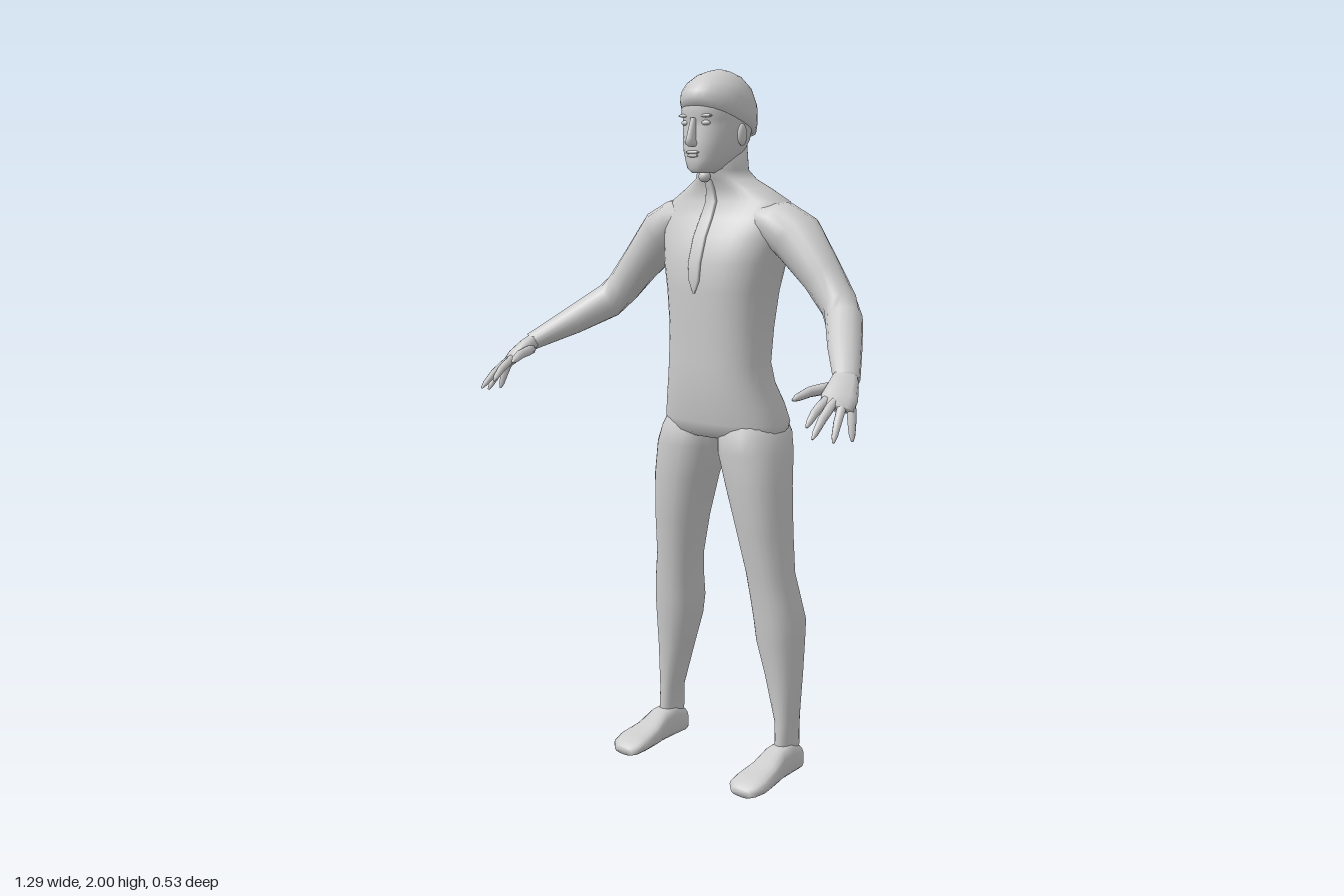
import * as THREE from 'three';

const V = (x, y, z) => new THREE.Vector3(x, y, z);
const skin = new THREE.MeshStandardMaterial({ color: 0xcccccc });
skin.name = 'pale grey';

// Closed skin over cross-sections {c, u, v, a, b, p, groove}; u x v points along the path.
function loft(sections, n) {
  const pos = [], index = [];
  const pw = (t, p) => Math.sign(t) * Math.pow(Math.abs(t), 2 / p);
  for (const { c, u, v, a, b, p = 2, groove = 0 } of sections) {
    for (let j = 0; j < n; j++) {
      const t = (j / n) * Math.PI * 2;
      const q = c.clone().addScaledVector(u, a * pw(Math.cos(t), p)).addScaledVector(v, b * pw(Math.sin(t), p));
      if (groove && Math.sin(t) > 0) q.z += groove * Math.exp(-((q.x / 0.035) ** 2));
      pos.push(q.x, q.y, q.z);
    }
  }
  const m = sections.length;
  for (let i = 0; i < m - 1; i++) {
    for (let j = 0; j < n; j++) {
      const a = i * n + j, b = i * n + ((j + 1) % n);
      index.push(a, b, b + n, a, b + n, a + n);
    }
  }
  const first = sections[0].c, last = sections[m - 1].c;
  pos.push(first.x, first.y, first.z, last.x, last.y, last.z);
  for (let j = 0; j < n; j++) {
    const k = (j + 1) % n, e = (m - 1) * n;
    index.push(m * n, k, j, m * n + 1, e + j, e + k);
  }
  const g = new THREE.BufferGeometry();
  g.setAttribute('position', new THREE.Float32BufferAttribute(pos, 3));
  g.setIndex(index);
  g.computeVertexNormals();
  return g;
}

// Level ring between x0..x1 and from front to back; tilt drops the back and lifts the front.
const ring = (y, x0, x1, zf, zb, p = 2.3, groove = 0, tilt = 0) => ({
  c: V((x0 + x1) / 2, y, (zf + zb) / 2), u: V(1, 0, 0), v: V(0, -tilt, -1),
  a: (x1 - x0) / 2, b: (zf - zb) / 2, p, groove,
});

// Limb along points [x, y, z, halfWidth, halfHeight]; side sets the width direction.
function limb(rows, n, side, p = 2) {
  const pts = rows.map((r) => V(r[0], r[1], r[2]));
  return loft(rows.map((r, i) => {
    const t = pts[Math.min(i + 1, pts.length - 1)].clone().sub(pts[Math.max(i - 1, 0)]).normalize();
    const u = side ? side.clone().addScaledVector(t, -side.dot(t)) : V(0, 1, 0).cross(t);
    u.normalize();
    return { c: pts[i], u, v: t.clone().cross(u), a: r[3], b: r[4], p };
  }), n);
}

function ball(x, y, z, rx, ry, rz) {
  return new THREE.SphereGeometry(1, 16, 12).scale(rx, ry, rz).translate(x, y, z);
}

function mirrored(g) {
  const m = g.clone().scale(-1, 1, 1), idx = m.index;
  for (let i = 0; i < idx.count; i += 3) {
    const t = idx.getX(i);
    idx.setX(i, idx.getX(i + 1));
    idx.setX(i + 1, t);
  }
  m.computeVertexNormals();
  return m;
}

export function createModel() {
  const model = new THREE.Group();
  model.name = 'figure';
  const add = (name, g) => {
    const mesh = new THREE.Mesh(g, skin);
    mesh.name = name;
    model.add(mesh);
  };
  const pair = (name, g) => {
    add('left ' + name, g);
    add('right ' + name, mirrored(g));
  };

  // Torso and neck: y, half width, front, back, spine groove
  const torso = [
    [0.985, 0.175, -0.045, -0.22, 0.02], [1.0, 0.194, -0.022, -0.25, 0.03],
    [1.03, 0.195, -0.015, -0.268, 0.035], [1.08, 0.182, -0.006, -0.256, 0.025],
    [1.14, 0.165, 0, -0.226, 0.012], [1.2, 0.156, 0.002, -0.213, 0.01],
    [1.3, 0.156, 0.003, -0.23, 0.012], [1.4, 0.166, 0.006, -0.245, 0.012],
    [1.48, 0.185, 0.003, -0.255, 0.014], [1.55, 0.202, -0.02, -0.258, 0.015],
    [1.6, 0.212, -0.048, -0.25, 0.014], [1.645, 0.195, -0.07, -0.236, 0.01],
    [1.68, 0.132, -0.066, -0.222, 0.006], [1.705, 0.084, -0.056, -0.207, 0],
    [1.73, 0.063, -0.045, -0.192, 0], [1.81, 0.06, -0.04, -0.185, 0],
  ];
  add('torso', loft(torso.map(([y, w, f, b, g]) => ring(y, -w, w, f, b, 2.4, g)), 40));

  // Legs: y, inner x, outer x, front, back
  const leg = [
    [0.03, 0.2, 0.247, -0.1, -0.195], [0.08, 0.2, 0.247, -0.1, -0.197],
    [0.16, 0.195, 0.25, -0.105, -0.195], [0.3, 0.155, 0.257, -0.095, -0.21],
    [0.4, 0.128, 0.258, -0.08, -0.225], [0.46, 0.12, 0.26, -0.075, -0.228],
    [0.52, 0.115, 0.251, -0.068, -0.215], [0.6, 0.105, 0.237, -0.06, -0.2],
    [0.72, 0.08, 0.23, -0.04, -0.205], [0.85, 0.045, 0.224, -0.025, -0.215],
    [0.95, 0.013, 0.214, -0.02, -0.238], [1.0, 0.012, 0.198, -0.024, -0.252],
    [1.06, 0.02, 0.17, -0.05, -0.23],
  ];
  pair('leg', loft(leg.map((r) => ring(...r)), 20));

  // Feet: z, centre x, half width, height
  const foot = [
    [-0.205, 0.223, 0.018, 0.04], [-0.192, 0.223, 0.03, 0.075], [-0.14, 0.224, 0.036, 0.1],
    [-0.09, 0.225, 0.04, 0.095], [-0.04, 0.226, 0.048, 0.066], [0.02, 0.228, 0.056, 0.05],
    [0.055, 0.226, 0.051, 0.038], [0.07, 0.226, 0.035, 0.025],
  ];
  pair('foot', loft(foot.map(([z, x, w, h]) => ({
    c: V(x, h / 2, z), u: V(1, 0, 0), v: V(0, 1, 0), a: w, b: h / 2, p: 2.7,
  })), 18));

  // Arms, palms, fingers and thumbs
  pair('arm', limb([
    [0.11, 1.6, -0.145, 0.075, 0.05], [0.18, 1.583, -0.145, 0.08, 0.066],
    [0.24, 1.55, -0.145, 0.074, 0.073], [0.335, 1.45, -0.135, 0.056, 0.058],
    [0.395, 1.38, -0.125, 0.05, 0.052], [0.43, 1.34, -0.1, 0.05, 0.052],
    [0.493, 1.285, -0.015, 0.045, 0.042], [0.572, 1.222, 0.088, 0.034, 0.026],
  ], 16));
  const across = V(0.8, -0.1, -0.55);
  pair('palm', limb([
    [0.562, 1.23, 0.075, 0.03, 0.022], [0.575, 1.212, 0.105, 0.038, 0.022],
    [0.588, 1.185, 0.14, 0.046, 0.02], [0.597, 1.162, 0.165, 0.042, 0.013],
  ], 12, across, 2.5));
  const fingers = [
    ['index finger', V(0.568, 1.172, 0.182), V(0.566, 1.122, 0.246)],
    ['middle finger', V(0.588, 1.168, 0.174), V(0.598, 1.1, 0.265)],
    ['ring finger', V(0.606, 1.163, 0.156), V(0.625, 1.087, 0.216)],
    ['little finger', V(0.62, 1.162, 0.135), V(0.639, 1.083, 0.156)],
    ['thumb', V(0.54, 1.2, 0.13), V(0.507, 1.18, 0.225)],
  ];
  for (const [name, base, tip] of fingers) {
    const at = (t, r, lift) => {
      const q = base.clone().lerp(tip, t);
      return [q.x, q.y + lift, q.z, r, r];
    };
    const k = name === 'thumb' ? 1.25 : 1;
    pair(name, limb([at(-0.2, 0.011 * k, 0), at(0.1, 0.012 * k, 0.003), at(0.5, 0.011 * k, 0.007),
      at(0.85, 0.008 * k, 0.003), at(1, 0.003, 0)], 8));
  }

  // Head: y, half width, front, back
  const head = [
    [1.722, 0.026, 0.0, -0.07], [1.735, 0.045, 0.011, -0.11], [1.755, 0.058, 0.012, -0.145],
    [1.78, 0.069, 0.014, -0.172], [1.81, 0.077, 0.013, -0.19], [1.845, 0.081, 0.009, -0.2],
    [1.865, 0.083, 0.008, -0.205], [1.885, 0.085, 0.016, -0.21], [1.93, 0.08, 0.01, -0.205],
  ];
  add('head', loft(head.map(([y, w, f, b]) => ring(y, -w, w, f, b)), 28));

  // Close-fitting cap, lower at the back: y, half width, half depth, tilt
  const cap = [
    [1.86, 0.08, 0.104, 0.35], [1.862, 0.091, 0.118, 0.35], [1.885, 0.095, 0.122, 0.3],
    [1.92, 0.093, 0.12, 0.18], [1.955, 0.079, 0.102, 0.08], [1.982, 0.053, 0.07, 0.03],
    [1.995, 0.026, 0.035, 0], [2.0, 0.006, 0.008, 0],
  ];
  add('cap', loft(cap.map(([y, w, d, k]) => ring(y, -w, w, -0.1 + d, -0.1 - d, 2, 0, k)), 32));

  // Face
  add('nose', loft([
    ring(1.793, -0.011, 0.011, 0.024, -0.005), ring(1.801, -0.016, 0.016, 0.037, -0.005),
    ring(1.815, -0.011, 0.011, 0.034, -0.005), ring(1.87, -0.007, 0.007, 0.017, -0.005),
  ], 12));
  add('upper lip', ball(0, 1.778, 0.012, 0.023, 0.005, 0.008));
  add('lower lip', ball(0, 1.769, 0.011, 0.019, 0.005, 0.008));
  pair('eye', ball(0.036, 1.856, -0.001, 0.014, 0.007, 0.009));
  pair('brow', ball(0.037, 1.875, 0.001, 0.022, 0.005, 0.009));
  pair('ear', ball(0.082, 1.825, -0.1, 0.009, 0.03, 0.018));

  // Neck bead and the strip hanging down the chest: y, half width, front
  add('neck bead', ball(0, 1.713, -0.038, 0.017, 0.016, 0.016));
  const strip = [
    [1.395, 0.003, 0.01], [1.43, 0.018, 0.012], [1.48, 0.022, 0.01], [1.55, 0.022, -0.012],
    [1.6, 0.021, -0.039], [1.645, 0.018, -0.06], [1.68, 0.013, -0.056], [1.705, 0.009, -0.045],
  ];
  add('chest strip', loft(strip.map(([y, w, f]) => ring(y, -w, w, f, f - 0.02, 5)), 16));

  return model;
}
